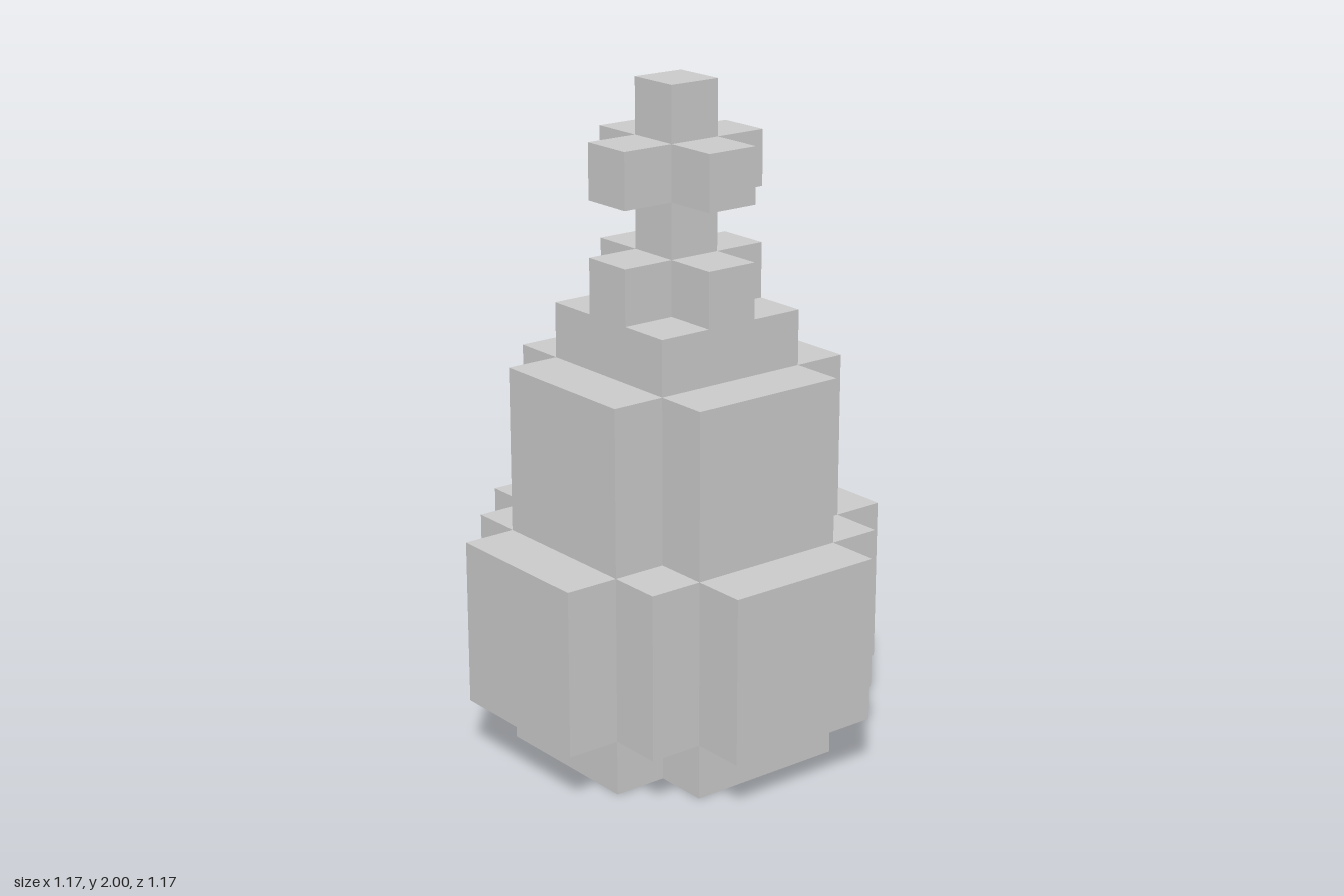
import * as THREE from 'three';

const U = 1 / 6; // size of one block

// Four-fold symmetric stepped outline; steps are the outer corners of one quadrant, in blocks
function steppedShape(steps) {
  const quarter = [];
  steps.forEach(([x, y], i) => {
    if (i > 0) quarter.push([x, steps[i - 1][1]]); // inner corner
    quarter.push([x, y]);
  });
  const points = [];
  for (let q = 0; q < 4; q++) {
    const a = (q * Math.PI) / 2;
    const c = Math.round(Math.cos(a)), s = Math.round(Math.sin(a));
    for (const [x, y] of quarter) {
      points.push(new THREE.Vector2((x * c - y * s) * U, (x * s + y * c) * U));
    }
  }
  return new THREE.Shape(points);
}

export function createModel() {
  const group = new THREE.Group();
  group.name = 'blockBottle';
  const material = new THREE.MeshStandardMaterial({ color: 0xcccccc, flatShading: true });

  const single = [[0.5, 0.5]];
  const smallCross = [[1.5, 0.5], [0.5, 1.5]];
  const square = [[1.5, 1.5]];
  const wideCross = [[2.5, 1.5], [1.5, 2.5]];
  const rounded = [[3.5, 1.5], [2.5, 2.5], [1.5, 3.5]];

  // Tiers from bottom to top: name, outline, height in blocks
  const tiers = [
    ['base', wideCross, 1],
    ['belly', rounded, 3],
    ['upperBody', wideCross, 3],
    ['shoulder', square, 1],
    ['collar', smallCross, 1],
    ['neck', single, 1],
    ['topCross', smallCross, 1],
    ['tip', single, 1],
  ];

  let level = 0;
  for (const [name, steps, height] of tiers) {
    const geometry = new THREE.ExtrudeGeometry(steppedShape(steps), {
      depth: height * U,
      bevelEnabled: false,
    });
    geometry.rotateX(-Math.PI / 2);
    const mesh = new THREE.Mesh(geometry, material);
    mesh.name = name;
    mesh.position.y = level * U;
    group.add(mesh);
    level += height;
  }
  return group;
}
